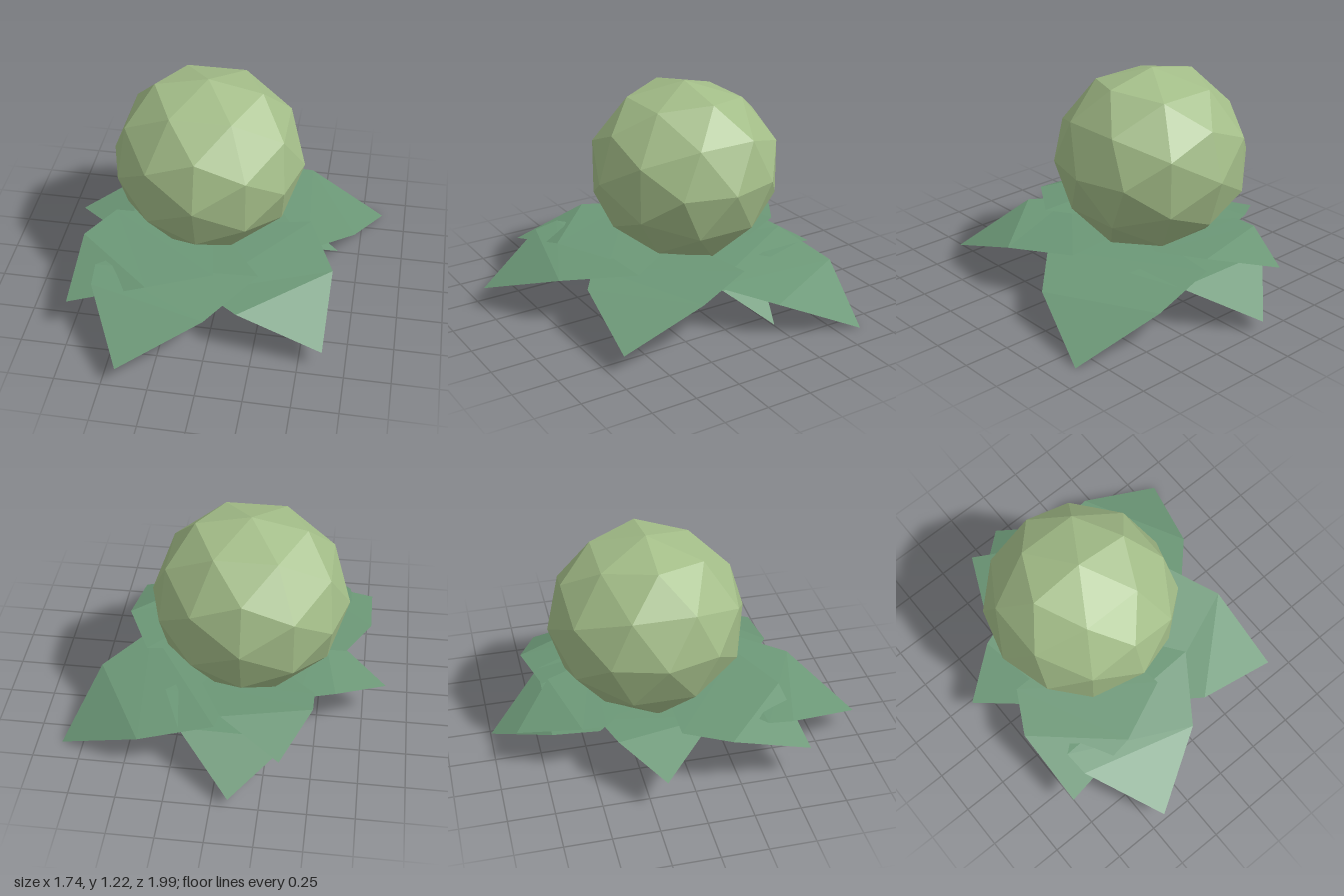
import * as THREE from 'three';

const leafGreen = new THREE.MeshStandardMaterial({ color: 0x6c9877, flatShading: true, side: THREE.DoubleSide });
leafGreen.name = 'leaf green';
const headGreen = new THREE.MeshStandardMaterial({ color: 0xa3bd88, flatShading: true });
headGreen.name = 'pale head green';

// Each leaf: tip, side, wide corner, opposite wide corner, opposite side, base height
const leaves = {
  frontLeaf: [[-0.42, 0.12, 0.99], [0, 0.275, 0.73], [0.24, 0.317, 0.38], [-0.65, 0.31, 0.42], [-0.64, 0.29, 0.56], 0.3],
  frontLeftLeaf: [[0.625, 0.11, 0.69], [0.63, 0.27, 0.22], [0.47, 0.305, -0.14], [-0.05, 0.275, 0.5], [0.16, 0.27, 0.645], 0.29],
  frontRightLeaf: [[-0.77, 0.2, 0.62], [-0.34, 0.322, 0.57], [0, 0.325, 0.42], [-0.64, 0.32, -0.05], [-0.77, 0.32, 0.19], 0.32],
  rightLeaf: [[-0.87, 0.2, -0.18], [-0.5, 0.29, 0.17], [-0.25, 0.29, 0.28], [-0.4, 0.3, -0.45], [-0.6, 0.29, -0.38], 0.29],
  backRightLeaf: [[-0.34, 0.24, -0.88], [-0.49, 0.32, -0.55], [-0.49, 0.32, -0.42], [0.12, 0.31, -0.4], [-0.01, 0.32, -0.66], 0.31],
  backLeaf: [[-0.09, 0.06, -1], [-0.4, 0.24, -0.7], [-0.45, 0.26, -0.45], [0.32, 0.26, -0.42], [0.21, 0.24, -0.69], 0.27],
  backLeftLeaf: [[0.865, 0.005, -0.63], [0.42, 0.2, -0.76], [0.02, 0.27, -0.69], [0.48, 0.27, 0.06], [0.72, 0.2, -0.19], 0.27],
  leftLeaf: [[0.63, 0.03, -0.23], [0.37, 0.18, -0.33], [0.1, 0.235, -0.5], [0.2, 0.24, 0.15], [0.4, 0.18, -0.05], 0.25],
};

function leafGeometry([tip, sideA, wideA, wideB, sideB, baseY]) {
  const base = [-0.08, baseY, -0.06];
  const faces = [
    tip, sideA, sideB,
    sideA, wideA, wideB,
    sideA, wideB, sideB,
    wideA, base, wideB,
  ];
  const g = new THREE.BufferGeometry();
  g.setAttribute('position', new THREE.Float32BufferAttribute(faces.flat(), 3));
  g.computeVertexNormals();
  return g;
}

export function createModel() {
  const model = new THREE.Group();
  model.name = 'cabbage';

  // Faceted round head, with the corners of its top and bottom edges drawn out a little
  const headGeo = new THREE.IcosahedronGeometry(1, 1);
  const p = headGeo.attributes.position;
  for (let i = 0; i < p.count; i++) {
    if (Math.abs(p.getZ(i)) < 0.05 && Math.abs(Math.abs(p.getX(i)) - 0.526) < 0.05) {
      p.setXY(i, p.getX(i) * 1.05, p.getY(i) * 1.03);
    }
  }
  headGeo.scale(0.532, 0.5, 0.537);
  headGeo.computeVertexNormals();
  const head = new THREE.Mesh(headGeo, headGreen);
  head.name = 'head';
  head.position.set(-0.11, 0.72, -0.12);
  model.add(head);

  // Rosette of drooping outer leaves
  const rosette = new THREE.Group();
  rosette.name = 'outerLeaves';
  for (const [name, points] of Object.entries(leaves)) {
    const leaf = new THREE.Mesh(leafGeometry(points), leafGreen);
    leaf.name = name;
    rosette.add(leaf);
  }
  model.add(rosette);
  return model;
}
